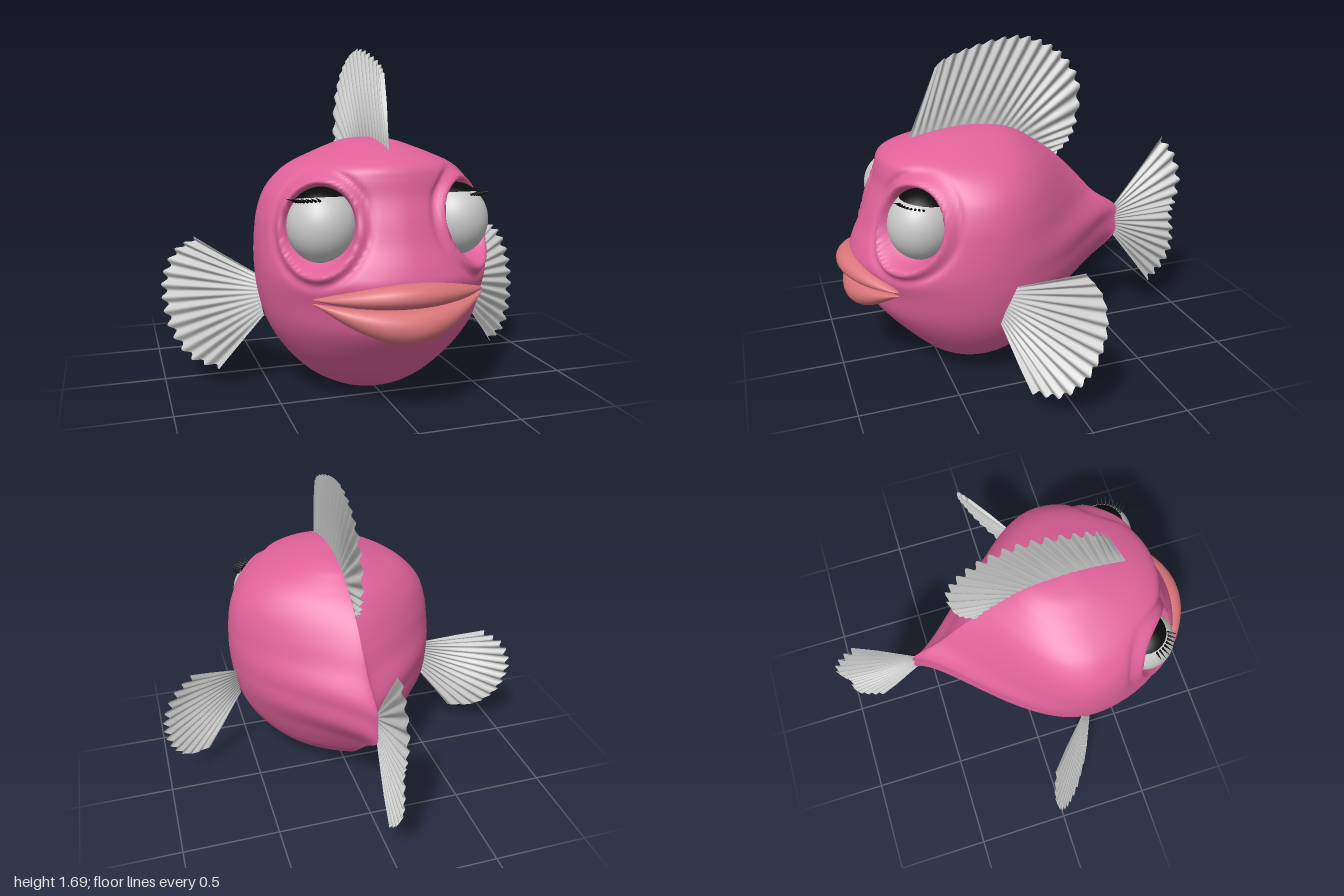
import * as THREE from 'three';

const flat = (color, extra = {}) => new THREE.MeshStandardMaterial({ color, ...extra });

// Smooth surface from fn(u, v) -> [x, y, z]; wrap closes it in v.
function surface(nu, nv, fn, wrap) {
  const pos = [], idx = [], cols = wrap ? nv : nv + 1;
  for (let i = 0; i <= nu; i++)
    for (let j = 0; j < cols; j++) pos.push(...fn(i / nu, j / nv));
  for (let i = 0; i < nu; i++)
    for (let j = 0; j < nv; j++) {
      const k = (j + 1) % cols;
      const a = i * cols + j, b = a + cols, c = i * cols + k, d = c + cols;
      idx.push(a, b, c, b, d, c);
    }
  const g = new THREE.BufferGeometry();
  g.setAttribute('position', new THREE.Float32BufferAttribute(pos, 3));
  g.setIndex(idx);
  g.computeVertexNormals();
  return g;
}

const curve = (pts) => new THREE.CatmullRomCurve3(pts.map((p) => new THREE.Vector3(...p)));

// Horizontal body sections: height, half width, front z, back z, front and back roundness
const SECTIONS = [
  [0, 0, 0.3, 0.3, 0.5, 0.5],
  [0.01, 0.14, 0.42, 0.19, 0.5, 0.55],
  [0.04, 0.22, 0.5, 0.07, 0.5, 0.65],
  [0.1, 0.32, 0.58, -0.07, 0.5, 0.8],
  [0.2, 0.42, 0.68, -0.21, 0.5, 1.0],
  [0.3, 0.49, 0.77, -0.32, 0.5, 1.2],
  [0.4, 0.535, 0.84, -0.43, 0.5, 1.4],
  [0.52, 0.563, 0.87, -0.58, 0.48, 1.55],
  [0.62, 0.574, 0.915, -0.585, 0.48, 1.55],
  [0.7, 0.577, 0.9, -0.58, 0.53, 1.55],
  [0.8, 0.573, 0.855, -0.44, 0.58, 1.35],
  [0.9, 0.56, 0.82, -0.345, 0.6, 1.2],
  [1.0, 0.525, 0.78, -0.25, 0.57, 1.05],
  [1.08, 0.46, 0.762, -0.16, 0.5, 0.9],
  [1.13, 0.39, 0.742, -0.09, 0.46, 0.8],
  [1.17, 0.3, 0.68, -0.03, 0.46, 0.7],
  [1.205, 0.21, 0.58, 0.03, 0.5, 0.6],
  [1.235, 0.12, 0.44, 0.13, 0.5, 0.5],
  [1.25, 0, 0.3, 0.3, 0.5, 0.5],
];

function section(t) {
  const n = SECTIONS.length - 1, f = t * n, i = Math.min(Math.floor(f), n - 1), s = f - i;
  const at = (k) => SECTIONS[THREE.MathUtils.clamp(k, 0, n)];
  return at(i).map((p1, c) => {
    const p0 = at(i - 1)[c], p2 = at(i + 1)[c], p3 = at(i + 2)[c];
    return p1 + 0.5 * s * (p2 - p0 + s * (2 * p0 - 5 * p1 + 4 * p2 - p3 + s * (3 * (p1 - p2) + p3 - p0)));
  });
}

const EYE = new THREE.Vector3(0.325, 0.87, 0.615);
const GAZE = new THREE.Vector3(0.5, 0, 0.866);

// Body point, with a hollow socket and raised rim around each eye
function bodyPoint(u, v) {
  const [y, w, zf, zb, qf, qb] = section(u);
  const a = v * Math.PI * 2, c = Math.cos(a), s = Math.sin(a);
  const q = s > 0 ? qf : qb, side = Math.sign(c);
  const p = new THREE.Vector3(w * Math.abs(c) ** (2 * q), y, 0.3 + (s > 0 ? (zf - 0.3) * s : (0.3 - zb) * s));
  const rel = p.clone().sub(EYE), h = rel.dot(GAZE);
  if (h > -0.15) {
    const off = rel.addScaledVector(GAZE, -h);
    off.y /= 1.06;
    const d = off.length();
    const bump = (r, wide) => Math.exp(-(((d - r) / wide) ** 2));
    const hollow = 1 - THREE.MathUtils.smoothstep(d, 0.145, 0.185);
    p.addScaledVector(GAZE, 0.022 * bump(0.195, 0.02) - 0.012 * bump(0.235, 0.018) - 0.08 * hollow);
  }
  return [side * p.x, p.y, p.z];
}

// Lip: a tapered sweep from one mouth corner to the other
function lip(top, bottom, outer) {
  return surface(56, 18, (u, v) => {
    const t = -1 + 2 * u, k = 1 - t * t, close = Math.sqrt(1 - t ** 10);
    const hi = top(k), lo = bottom(k), rz = 0.02 + 0.055 * k, a = v * Math.PI * 2;
    return [
      t * 0.41,
      (hi + lo) / 2 + ((hi - lo) / 2) * Math.cos(a) * close,
      outer(t * t) - rz - rz * Math.sin(a) * close,
    ];
  }, true);
}

// Ribbed fan between a base curve and a scalloped outer curve
function fan(base, outer, normal, ribs, amp) {
  const from = curve(base), to = curve(outer), n = new THREE.Vector3(...normal).normalize();
  return surface(ribs * 8, 8, (u, v) => {
    const wave = Math.cos(u * ribs * Math.PI * 2);
    const p = from.getPoint(u).lerp(to.getPoint(u), v * (1 + 0.022 * wave));
    return p.addScaledVector(n, amp * wave * Math.min(1, v * 1.6)).toArray();
  }, false);
}

export function createModel() {
  const group = new THREE.Group();
  const skin = flat(0xe0629a);
  skin.name = 'pink skin';
  const lipMat = flat(0xd9757a);
  lipMat.name = 'salmon lips';
  const finMat = flat(0xc8c8c8, { side: THREE.DoubleSide });
  finMat.name = 'pale grey';
  const black = flat(0x0a0a0a, { side: THREE.DoubleSide });
  black.name = 'black';

  const add = (name, geometry, material, parent = group) => {
    const m = new THREE.Mesh(geometry, material);
    m.name = name;
    parent.add(m);
    return m;
  };

  add('body', surface(120, 208, bodyPoint, true), skin);

  // Mouth
  add('upperLip', lip((k) => 0.575 + 0.075 * k ** 1.3, (k) => 0.56 - 0.022 * k, (t2) => 0.99 - 0.215 * t2), lipMat);
  add('lowerLip', lip((k) => 0.556 - 0.032 * k, (k) => 0.542 - 0.17 * k ** 1.2, (t2) => 0.965 - 0.19 * t2), lipMat);

  // Dorsal fin, leaning slightly to one side
  const lean = ([z, y]) => [0.045 * (y - 1.15), y, z];
  add('dorsalFin', fan(
    [[0.6, 1.18], [0.4, 1.2], [0.15, 1.2], [0, 1.15], [-0.2, 1.02]].map(lean),
    [[0.45, 1.55], [0.4, 1.59], [0.28, 1.635], [0.14, 1.67], [0, 1.68], [-0.13, 1.64], [-0.24, 1.56],
      [-0.32, 1.43], [-0.32, 1.22], [-0.28, 1.11], [-0.21, 1.04]].map(lean),
    [1, 0, 0], 21, 0.011), finMat);

  // Tail fin
  const mid = ([z, y]) => [0, y, z];
  add('tailFin', fan(
    [[-0.57, 0.7], [-0.57, 0.61], [-0.57, 0.52]].map(mid),
    [[-0.845, 1.07], [-0.93, 0.97], [-0.98, 0.82], [-0.965, 0.68], [-0.945, 0.6], [-0.96, 0.48],
      [-0.95, 0.36], [-0.89, 0.26], [-0.815, 0.19]].map(mid),
    [1, 0, 0], 15, 0.012), finMat);

  for (const s of [1, -1]) {
    const side = s > 0 ? 'left' : 'right';
    const flip = ([x, y, z]) => [s * x, y, z];

    // Pectoral fin
    add(side + 'PectoralFin', fan(
      [[0.545, 0.57, 0.23], [0.55, 0.48, 0.26], [0.535, 0.38, 0.29]].map(flip),
      [[0.82, 0.73, -0.02], [0.92, 0.66, -0.06], [0.98, 0.53, -0.06], [0.985, 0.39, -0.025],
        [0.95, 0.25, 0.03], [0.87, 0.14, 0.11], [0.74, 0.1, 0.2]].map(flip),
      [s * 0.6, 0.15, 0.78], 13, 0.011), finMat);

    // Eye with dark upper lid line
    const eye = new THREE.Group();
    eye.name = side + 'Eye';
    eye.position.set(s * EYE.x, EYE.y, EYE.z);
    group.add(eye);
    add('eyeball', new THREE.SphereGeometry(0.162, 40, 28), finMat, eye).scale.y = 1.06;
    const lid = add('lidLine', new THREE.SphereGeometry(0.167, 40, 8, 0, Math.PI * 2, 0, 0.78), black, eye);
    lid.scale.y = 1.06;
    lid.rotation.x = -0.15;

    // Lashes fan out from the outer corner
    for (let i = 0; i < 8; i++) {
      const az = 0.35 + i * 0.16, polar = 0.72 + i * 0.015;
      const out = new THREE.Vector3(s * Math.sin(az) * Math.sin(polar), Math.cos(polar), Math.cos(az) * Math.sin(polar));
      const dir = new THREE.Vector3(out.x + s * 0.25, 0.35, out.z).normalize();
      const lash = add('lash', new THREE.ConeGeometry(0.007, 0.06, 6), black, eye);
      lash.position.copy(out).multiplyScalar(0.168).addScaledVector(dir, 0.024);
      lash.quaternion.setFromUnitVectors(new THREE.Vector3(0, 1, 0), dir);
    }
  }
  return group;
}
